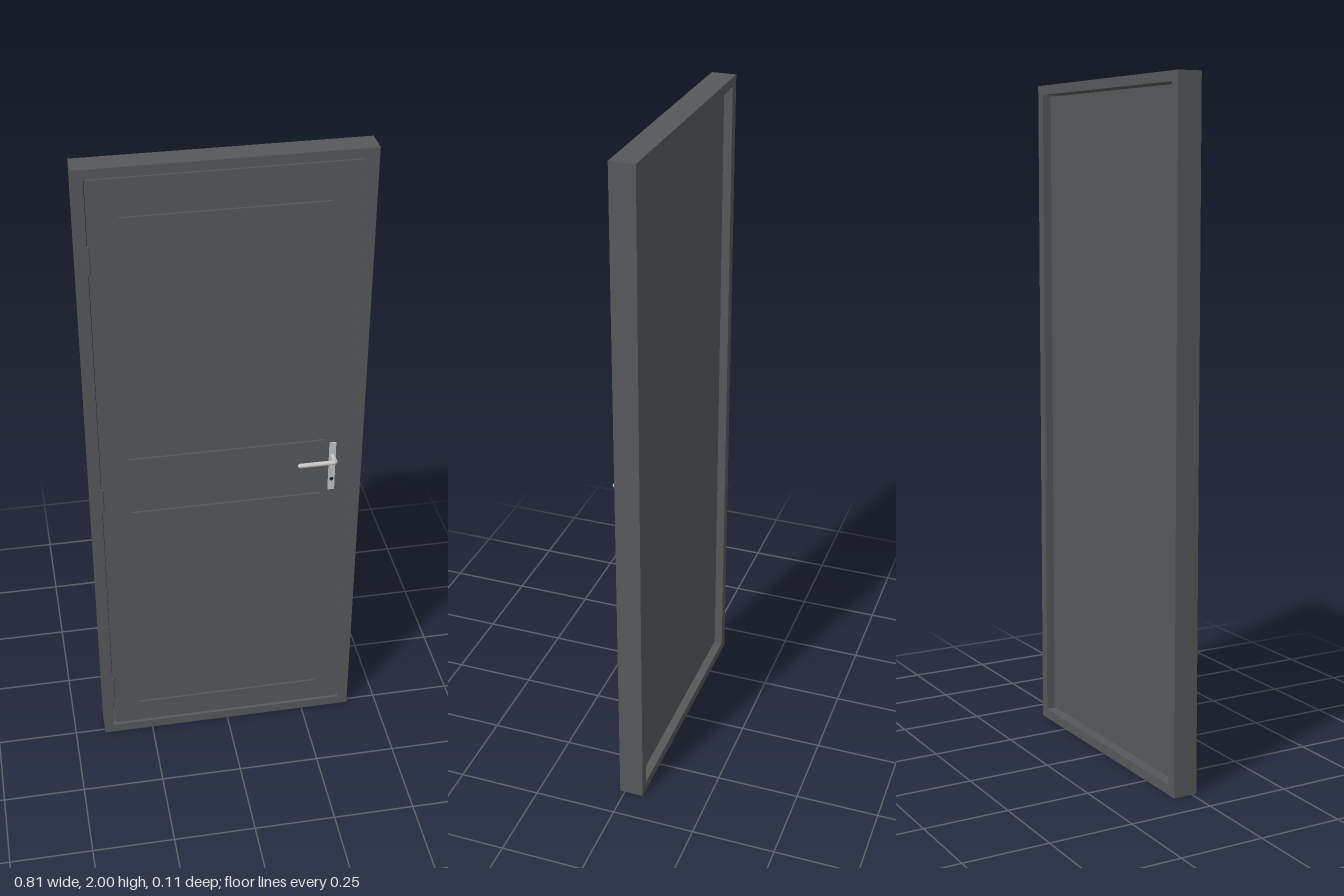
import * as THREE from 'three';

export function createModel() {
  const door = new THREE.Group();
  door.name = 'door';
  const paint = new THREE.MeshStandardMaterial({ color: 0x565859 });
  paint.name = 'grey paint';
  const steel = new THREE.MeshStandardMaterial({ color: 0xc4c4c4 });
  steel.name = 'brushed steel';
  const dark = new THREE.MeshStandardMaterial({ color: 0x2a2a2a });
  dark.name = 'keyhole black';

  const add = (name, geometry, material, parent = door) => {
    const mesh = new THREE.Mesh(geometry, material);
    mesh.name = name;
    parent.add(mesh);
    return mesh;
  };
  // box given by its limits on each axis
  const box = (name, [x0, x1], [y0, y1], [z0, z1], material, parent) => {
    const mesh = add(name, new THREE.BoxGeometry(x1 - x0, y1 - y0, z1 - z0), material, parent);
    mesh.position.set((x0 + x1) / 2, (y0 + y1) / 2, (z0 + z1) / 2);
    return mesh;
  };
  const rect = (Type, x0, x1, y0, y1) => new Type([
    new THREE.Vector2(x0, y0), new THREE.Vector2(x1, y0),
    new THREE.Vector2(x1, y1), new THREE.Vector2(x0, y1),
  ]);

  // Frame: full-height posts with head and threshold between them
  const frame = new THREE.Group();
  frame.name = 'frame';
  door.add(frame);
  const depth = [-0.058, 0.015];
  box('leftPost', [0.374, 0.405], [0, 2], depth, paint, frame);
  box('rightPost', [-0.405, -0.374], [0, 2], depth, paint, frame);
  box('head', [-0.374, 0.374], [1.972, 2], depth, paint, frame);
  box('threshold', [-0.374, 0.374], [0, 0.03], depth, paint, frame);

  // Leaf: solid back, grooved facing with two inset panels
  const leaf = new THREE.Group();
  leaf.name = 'leaf';
  door.add(leaf);
  const front = 0.01, groove = 0.006;
  box('leafCore', [-0.369, 0.369], [0.035, 1.967], [-0.034, front - groove], paint, leaf);
  const outline = rect(THREE.Shape, -0.369, 0.369, 0.035, 1.967);
  for (const [y0, y1] of [[0.114, 0.893], [1.08, 1.86]]) {
    outline.holes.push(rect(THREE.Path, -0.292, 0.292, y0, y1));
    box('panel', [-0.286, 0.286], [y0 + 0.006, y1 - 0.006], [front - groove, front], paint, leaf);
  }
  const facing = add('leafFacing',
    new THREE.ExtrudeGeometry(outline, { depth: groove, bevelEnabled: false }), paint, leaf);
  facing.position.z = front - groove;

  // Hinges bridging the gap
  for (const y of [0.19, 0.94, 1.735]) {
    const hinge = add('hinge', new THREE.CylinderGeometry(0.005, 0.005, 0.085, 12), paint);
    hinge.position.set(-0.3715, y, 0.01);
  }

  // Handle: back plate, spindle, lever and lock
  const handle = new THREE.Group();
  handle.name = 'handle';
  door.add(handle);
  box('backPlate', [0.306, 0.326], [0.9, 1.07], [front, 0.014], steel, handle);
  const spindle = add('spindle', new THREE.CylinderGeometry(0.0075, 0.0075, 0.034, 16), steel, handle);
  spindle.rotation.x = Math.PI / 2;
  spindle.position.set(0.3165, 1.024, 0.03);
  const lever = add('lever', new THREE.CapsuleGeometry(0.007, 0.102, 3, 16), steel, handle);
  lever.rotation.z = Math.PI / 2;
  lever.position.set(0.262, 1.024, 0.049);
  const keyhole = add('keyhole', new THREE.CylinderGeometry(0.006, 0.006, 0.002, 16), dark, handle);
  keyhole.rotation.x = Math.PI / 2;
  keyhole.position.set(0.316, 0.94, 0.0145);

  return door;
}
